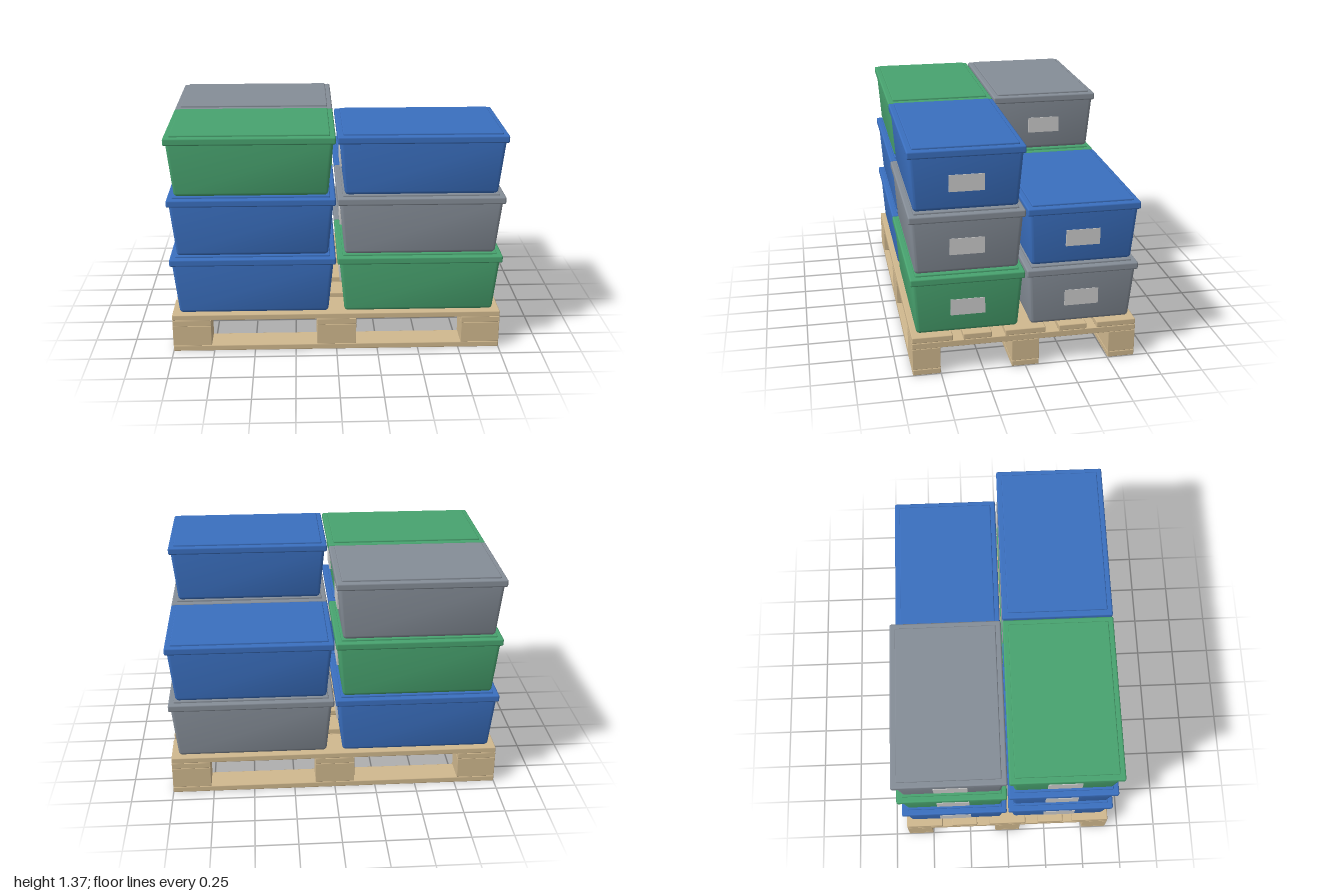
import * as THREE from 'three';
import { RoundedBoxGeometry } from 'three/addons/geometries/RoundedBoxGeometry.js';
import { toCreasedNormals } from 'three/addons/utils/BufferGeometryUtils.js';

const paint = (color) => new THREE.MeshStandardMaterial({ color });
const WOOD = paint(0xd0b88e);
const LABEL = paint(0xe4e4e4);
const BLUE = paint(0x3a6fbf);
const GREEN = paint(0x48a36f);
const GREY = paint(0x858d97);

// Softly rounded block, given by its size, centre and bottom height
function block(name, mat, [w, h, d], [x, y0, z], radius = 0.006, segments = 1) {
  const mesh = new THREE.Mesh(new RoundedBoxGeometry(w, h, d, segments, radius), mat);
  mesh.name = name;
  mesh.position.set(x, y0 + h / 2, z);
  return mesh;
}

// Pallet: runners, blocks, cross boards and deck boards
function createPallet() {
  const pallet = new THREE.Group();
  pallet.name = 'pallet';
  const columns = [[-0.8825, 0.235], [0, 0.24], [0.8825, 0.235]]; // x, width
  const rows = [-0.583, 0, 0.583];
  for (const z of rows) {
    pallet.add(block('bottomRunner', WOOD, [2, 0.037, 0.163], [0, 0, z]));
    for (const [x, w] of columns)
      pallet.add(block('spacerBlock', WOOD, [w, 0.131, 0.163], [x, 0.037, z], 0.003));
  }
  for (const [x, w] of columns)
    pallet.add(block('crossBoard', WOOD, [w, 0.037, 1.329], [x, 0.168, 0], 0.003));
  for (const [z, d] of [[-0.546, 0.237], [-0.283, 0.167], [0, 0.24], [0.283, 0.167], [0.546, 0.237]])
    pallet.add(block('deckBoard', WOOD, [2, 0.037, d], [0, 0.205, z]));
  return pallet;
}

// Tub body: rounded box widening from the bottom to the rim
function taperedBody() {
  const h = 0.34, bottom = [0.452, 0.297], top = [0.485, 0.32];
  const geo = new RoundedBoxGeometry(2 * bottom[0], h, 2 * bottom[1], 3, 0.022);
  const p = geo.attributes.position;
  for (let i = 0; i < p.count; i++) {
    const t = p.getY(i) / h + 0.5;
    p.setX(i, p.getX(i) * (1 + t * (top[0] / bottom[0] - 1)));
    p.setZ(i, p.getZ(i) * (1 + t * (top[1] / bottom[1] - 1)));
  }
  return toCreasedNormals(geo, 0.7);
}
const bodyGeometry = taperedBody();

// Lidded storage tub with a label plate at each end
function createTub(mat) {
  const tub = new THREE.Group();
  tub.name = 'storageTub';
  const body = new THREE.Mesh(bodyGeometry, mat);
  body.name = 'tubBody';
  body.position.y = 0.17;
  tub.add(body);
  tub.add(block('lidRim', mat, [0.994, 0.045, 0.66], [0, 0.319, 0], 0.01, 2));
  tub.add(block('lidPanel', mat, [0.928, 0.03, 0.596], [0, 0.345, 0], 0.006, 1));
  for (const side of [-1, 1]) {
    const label = new THREE.Mesh(new THREE.BoxGeometry(0.02, 0.098, 0.2), LABEL);
    label.name = 'endLabel';
    label.position.set(side * 0.466, 0.164, 0);
    tub.add(label);
  }
  return tub;
}

export function createModel() {
  const model = new THREE.Group();
  model.name = 'loadedPallet';
  model.add(createPallet());
  // Stacks of tubs, listed from the bottom up
  const stacks = [
    { x: -1, z: 1, tubs: [BLUE, BLUE, GREEN] },
    { x: 1, z: 1, tubs: [GREEN, GREY, BLUE] },
    { x: -1, z: -1, tubs: [BLUE, GREEN, GREY] },
    { x: 1, z: -1, tubs: [GREY, BLUE] },
  ];
  for (const { x, z, tubs } of stacks) {
    tubs.forEach((mat, level) => {
      const tub = createTub(mat);
      tub.position.set(x * 0.502, 0.242 + level * 0.375, z * 0.335);
      tub.scale.setScalar(1);
      model.add(tub);
    });
  }
  return model;
}
